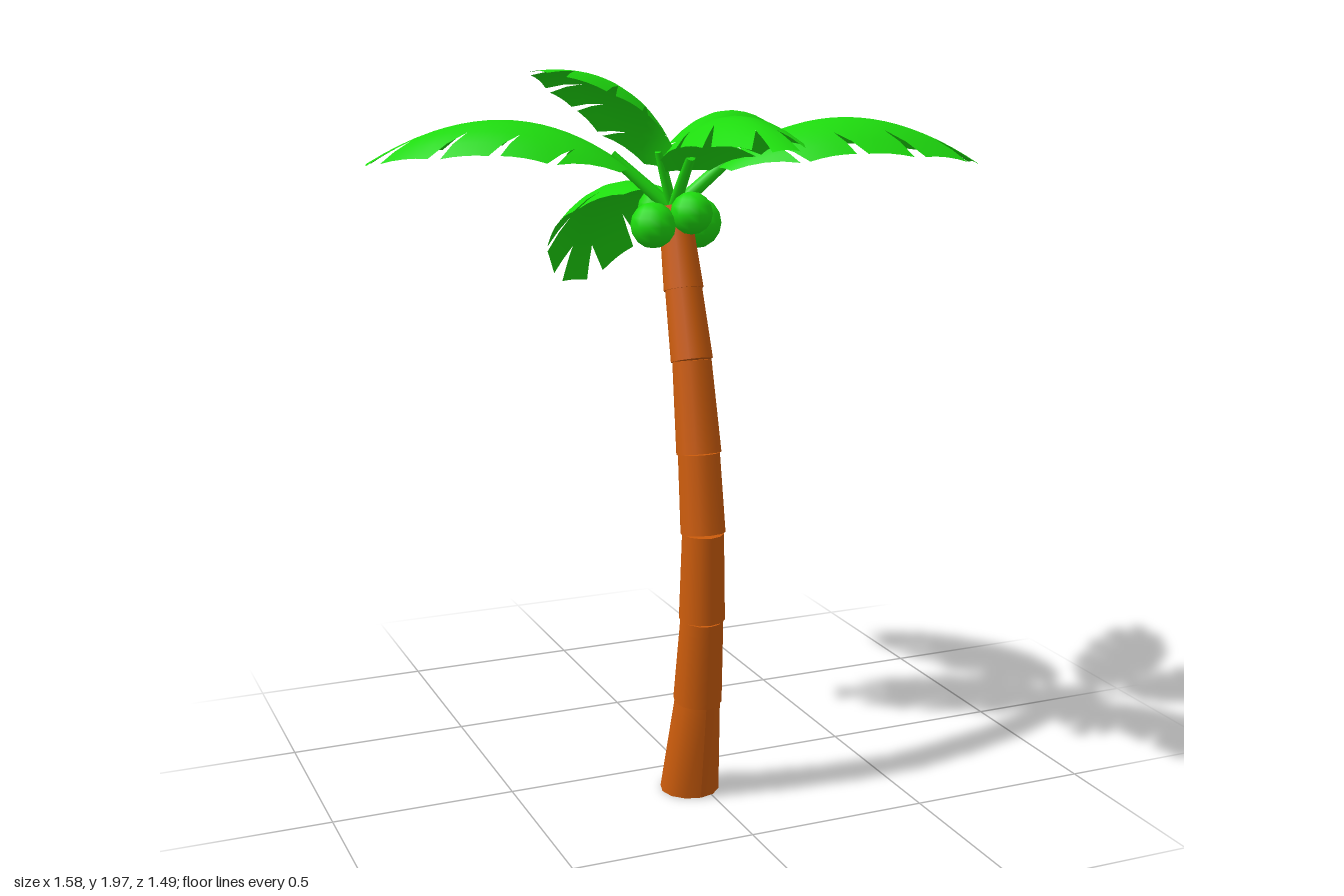
import * as THREE from 'three';
import { mergeVertices } from 'three/addons/utils/BufferGeometryUtils.js';

const bark = new THREE.MeshStandardMaterial({ color: 0xcc5c0c });
const green = new THREE.MeshStandardMaterial({ color: 0x1edc0e, side: THREE.DoubleSide });
const CROWN = new THREE.Vector3(-0.035, 1.59, 0.04);

// Trunk joints: [y, z, radius]
const JOINTS = [
  [0, 0.157, 0.081], [0.28, 0.212, 0.066], [0.52, 0.241, 0.062], [0.76, 0.247, 0.06],
  [0.97, 0.218, 0.06], [1.21, 0.17, 0.056], [1.39, 0.114, 0.053], [1.6, 0.05, 0.045],
];

// Leaf tips: [x, y, z]
const TIPS = [
  [-0.036, 1.29, -0.745], [-0.043, 1.805, 0.74], [0.79, 1.7, 0.19],
  [-0.77, 1.71, -0.29], [0.445, 1.75, -0.44], [-0.48, 1.97, 0.275],
];

// Blade plan as [position along the leaf, half width]: midrib, bottoms of the slits, outer lobe edges
const RIB = [0.17, 0.3, 0.46, 0.62, 0.78, 1];
const SLITS = [[0.18, 0.035], [0.34, 0.085], [0.51, 0.093], [0.67, 0.08], [0.85, 0.03], [1, 0.022]];
const LOBES = [
  [[0.19, 0.07], [0.37, 0.15]],
  [[0.40, 0.155], [0.56, 0.158]],
  [[0.60, 0.158], [0.76, 0.146]],
  [[0.80, 0.135], [0.95, 0.078]],
  [[0.87, 0.032], [1, 0.04]],
];

const mix = (a, b, s) => a + (b - a) * s;
const mix2 = (a, b, s) => [mix(a[0], b[0], s), mix(a[1], b[1], s)];

// Arched spine from the crown, running along +z
function leafSpine(run, rise) {
  const bend = 0.42;
  return new THREE.QuadraticBezierCurve3(
    new THREE.Vector3(),
    new THREE.Vector3(0, rise / 2 + run * bend, run / 2 - rise * bend),
    new THREE.Vector3(0, rise, run));
}

// Lobed blade, arched across its width
function bladeGeometry(spine, scale) {
  const pos = [], index = [], columns = 4;
  const point = ([t, w], side) => {
    const p = spine.getPointAt(t), d = spine.getTangentAt(t);
    const drop = 3.3 * w * w * scale;
    return [side * w * scale, p.y - d.z * drop, p.z + d.y * drop];
  };
  for (const side of [1, -1]) {
    LOBES.forEach(([start, end], i) => {
      const base = pos.length / 3;
      for (let c = 0; c <= columns; c++) {
        const s = c / columns;
        const rib = [mix(RIB[i], RIB[i + 1], s), 0];
        const slit = mix2(SLITS[i], SLITS[i + 1], s);
        const edge = mix2(start, end, s);
        const row = [rib, mix2(rib, slit, 0.5), slit, mix2(slit, edge, 0.5), edge];
        row.forEach((q) => pos.push(...point(q, side)));
      }
      for (let c = 0; c < columns; c++) {
        for (let r = 0; r < 4; r++) {
          const a = base + c * 5 + r, b = a + 1, e = a + 5, f = a + 6;
          if (side > 0) index.push(a, e, b, b, e, f);
          else index.push(a, b, e, b, f, e);
        }
      }
    });
  }
  const geo = new THREE.BufferGeometry();
  geo.setAttribute('position', new THREE.Float32BufferAttribute(pos, 3));
  geo.setIndex(index);
  const smooth = mergeVertices(geo, 1e-5);
  smooth.computeVertexNormals();
  return smooth;
}

// Tapered cylinder between two points
function rod(from, to, r0, r1, sides, material) {
  const dir = to.clone().sub(from);
  const mesh = new THREE.Mesh(new THREE.CylinderGeometry(r1, r0, dir.length(), sides), material);
  mesh.position.copy(from).add(to).multiplyScalar(0.5);
  mesh.quaternion.setFromUnitVectors(new THREE.Vector3(0, 1, 0), dir.normalize());
  return mesh;
}

function makeLeaf([x, y, z]) {
  const dx = x - CROWN.x, dz = z - CROWN.z, rise = y - CROWN.y;
  const run = Math.hypot(dx, dz), scale = Math.hypot(run, rise) / 0.84;
  const spine = leafSpine(run, rise);
  const leaf = new THREE.Group();
  leaf.name = 'leaf';
  const blade = new THREE.Mesh(bladeGeometry(spine, scale), green);
  blade.name = 'leafBlade';
  const stem = rod(spine.getPointAt(0), spine.getPointAt(0.24), 0.02 * scale, 0.015 * scale, 8, green);
  stem.name = 'leafStem';
  leaf.add(blade, stem);
  leaf.position.copy(CROWN);
  leaf.rotation.y = Math.atan2(dx, dz);
  return leaf;
}

export function createModel() {
  const model = new THREE.Group();
  model.name = 'palmTree';

  // Trunk of stacked segments, each flaring slightly over the one below
  const trunk = new THREE.Group();
  trunk.name = 'trunk';
  for (let i = 0; i < JOINTS.length - 1; i++) {
    const [y0, z0, r0] = JOINTS[i], [y1, z1, r1] = JOINTS[i + 1];
    const from = new THREE.Vector3(CROWN.x, y0, z0), to = new THREE.Vector3(CROWN.x, y1, z1);
    const segment = rod(from, to, r0, r1 * 0.93, 12, bark);
    segment.name = 'trunkSegment';
    // Level the foot on the ground
    if (i === 0) {
      segment.quaternion.identity();
      segment.position.set(0, 0, 0);
      const p = segment.geometry.attributes.position;
      const h = segment.geometry.parameters.height;
      for (let k = 0; k < p.count; k++) {
        const s = p.getY(k) / h + 0.5;
        p.setXYZ(k, p.getX(k) + CROWN.x, s * (y1 + p.getZ(k) * -0.15), p.getZ(k) + mix(z0, z1, s));
      }
      segment.geometry.computeVertexNormals();
    }
    trunk.add(segment);
  }
  model.add(trunk);

  // Crown of leaves
  const crown = new THREE.Group();
  crown.name = 'crown';
  TIPS.forEach((tip) => crown.add(makeLeaf(tip)));
  model.add(crown);

  // Coconuts: x, y, z, radius
  for (const [x, y, z, r] of [
    [0.045, 1.55, 0.005, 0.07], [-0.015, 1.59, 0.12, 0.056],
    [-0.113, 1.56, 0.095, 0.06], [-0.05, 1.585, -0.015, 0.06],
  ]) {
    const nut = new THREE.Mesh(new THREE.SphereGeometry(r, 12, 8), green);
    nut.name = 'coconut';
    nut.position.set(x, y, z);
    model.add(nut);
  }
  return model;
}
